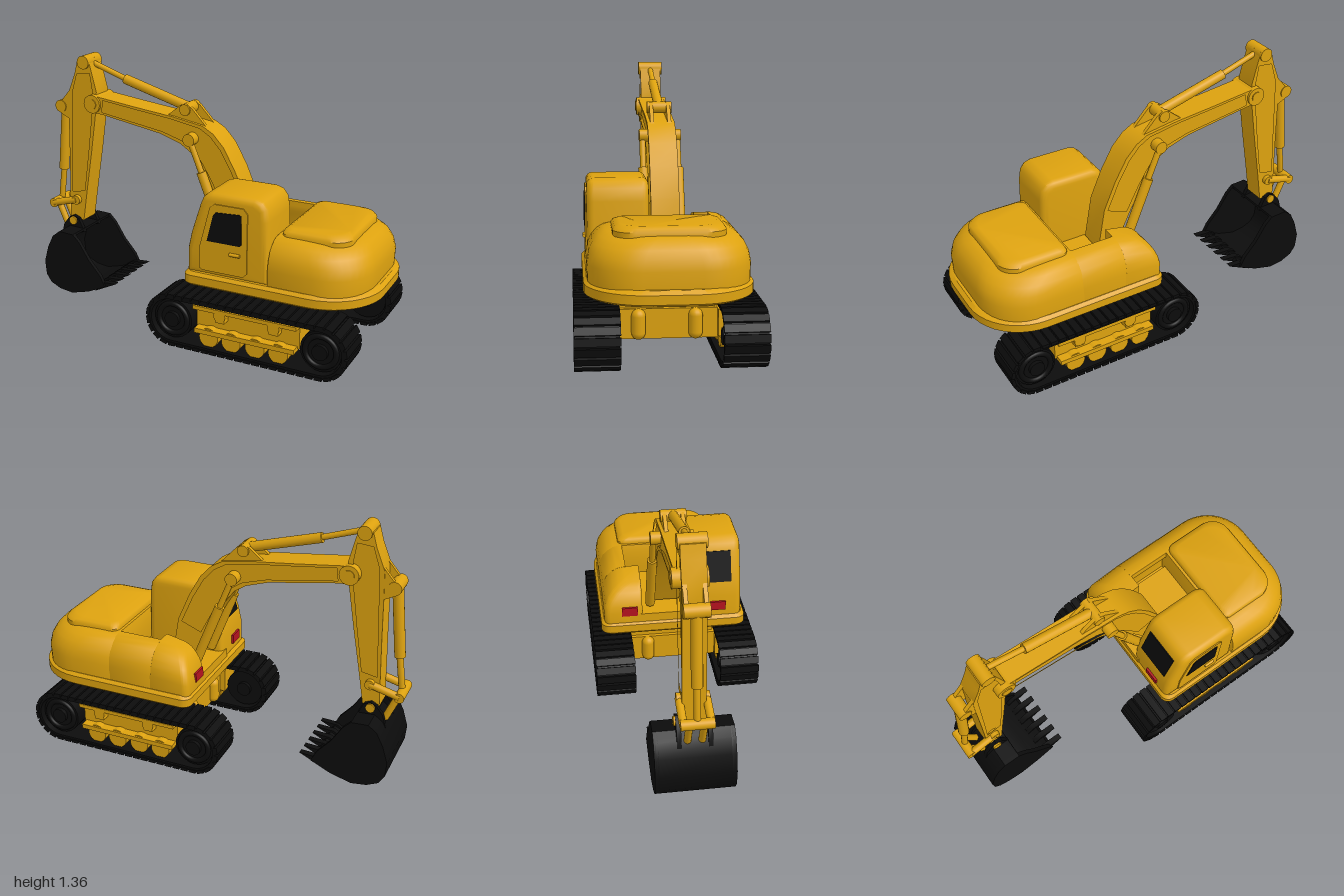
import * as THREE from 'three';
import { toCreasedNormals } from 'three/addons/utils/BufferGeometryUtils.js';

const material = (name, color) => {
  const m = new THREE.MeshStandardMaterial({ color });
  m.name = name;
  return m;
};

export function createModel() {
  const yellow = material('yellow paint', 0xdda20f);
  const black = material('black steel', 0x0c0c0c);
  const red = material('red lamp', 0xb5121f);
  const model = new THREE.Group();
  model.name = 'excavator';

  const add = (parent, name, geo, mat, x = 0, y = 0, z = 0) => {
    const mesh = new THREE.Mesh(geo, mat);
    mesh.name = name;
    mesh.position.set(x, y, z);
    parent.add(mesh);
    return mesh;
  };
  const box = (parent, name, w, h, d, mat, x, y, z) =>
    add(parent, name, new THREE.BoxGeometry(w, h, d), mat, x, y, z);
  // cylinder lying along z
  const pin = (parent, name, r, len, mat, x, y, z = 0) => {
    const geo = new THREE.CylinderGeometry(r, r, len, 24).rotateX(Math.PI / 2);
    return add(parent, name, geo, mat, x, y, z);
  };
  // cylinder between two points
  const rod = (parent, name, a, b, r, mat = yellow) => {
    const va = new THREE.Vector3(...a), dir = new THREE.Vector3(...b).sub(va);
    const mesh = add(parent, name, new THREE.CylinderGeometry(r, r, dir.length(), 16), mat);
    mesh.position.copy(va).addScaledVector(dir, 0.5);
    mesh.quaternion.setFromUnitVectors(new THREE.Vector3(0, 1, 0), dir.normalize());
    return mesh;
  };
  const toVectors = pts => pts.map(p => new THREE.Vector2(...p));
  // side profile extruded across z, centred, with a small rounded edge
  const slab = (parent, name, pts, width, mat, z = 0, bevel = 0, hole = null) => {
    const shape = new THREE.Shape(toVectors(pts));
    if (hole) shape.holes.push(new THREE.Path(toVectors(hole)));
    const geo = new THREE.ExtrudeGeometry(shape, {
      depth: width - 2 * bevel, bevelEnabled: bevel > 0, bevelSize: bevel,
      bevelThickness: bevel, bevelOffset: -bevel, bevelSegments: 4, curveSegments: 24,
    });
    geo.translate(0, 0, bevel - width / 2);
    return add(parent, name, toCreasedNormals(geo, 0.65), mat, 0, 0, z);
  };
  // stacked rounded rectangles: [y, x0, x1, z0, z1], corner radii from (x1,z1) round to (x1,z0)
  const loft = (parent, name, rings, radii, mat, rule) => {
    const pos = [], index = [], steps = 10, n = 4 * (steps + 1);
    for (const [y, x0, x1, z0, z1] of rings) {
      for (let c = 0; c < 4; c++) {
        const r = radii[c], right = c === 0 || c === 3, near = c < 2;
        const cx = right ? x1 - r : x0 + r, cz = near ? z1 - r : z0 + r;
        for (let s = 0; s <= steps; s++) {
          const a = (c + s / steps) * Math.PI / 2;
          const x = cx + r * Math.cos(a);
          pos.push(x, rule ? rule(x, y) : y, cz + r * Math.sin(a));
        }
      }
    }
    for (let i = 0; i < rings.length - 1; i++) {
      for (let j = 0; j < n; j++) {
        const a = i * n + j, b = i * n + (j + 1) % n;
        index.push(a, a + n, b, b, a + n, b + n);
      }
    }
    const top = (rings.length - 1) * n;
    for (let j = 1; j < n - 1; j++) index.push(top, top + j + 1, top + j, 0, j, j + 1);
    const geo = new THREE.BufferGeometry();
    geo.setAttribute('position', new THREE.Float32BufferAttribute(pos, 3));
    geo.setIndex(index);
    return add(parent, name, toCreasedNormals(geo, 0.65), mat);
  };

  // ---- undercarriage ----
  const capsule = (Klass, r) => {
    const p = new Klass();
    p.absarc(0.8, 0.147, r, -Math.PI / 2, Math.PI / 2, false);
    p.absarc(0, 0.147, r, Math.PI / 2, Math.PI * 1.5, false);
    p.closePath();
    return p;
  };
  for (const side of [1, -1]) {
    const track = new THREE.Group();
    track.name = side > 0 ? 'leftTrack' : 'rightTrack';
    track.position.z = side * 0.335;
    model.add(track);
    const belt = capsule(THREE.Shape, 0.131);
    belt.holes.push(capsule(THREE.Path, 0.114));
    const beltGeo = new THREE.ExtrudeGeometry(belt, { depth: 0.2, bevelEnabled: false, curveSegments: 20 });
    add(track, 'belt', toCreasedNormals(beltGeo.translate(0, 0, -0.1), 0.5), black);
    // shoes spaced around the belt
    const R = 0.134, arc = Math.PI * R, total = 1.6 + 2 * arc, count = 52;
    for (let i = 0; i < count; i++) {
      let d = i / count * total, x, y, turn = 0;
      if (d < 0.8) { x = d; y = 0.147 + R; }
      else if ((d -= 0.8) < arc) { turn = -d / R; x = 0.8 - R * Math.sin(turn); y = 0.147 + R * Math.cos(turn); }
      else if ((d -= arc) < 0.8) { x = 0.8 - d; y = 0.147 - R; turn = Math.PI; }
      else { turn = Math.PI - (d - 0.8) / R; x = -R * Math.sin(turn); y = 0.147 + R * Math.cos(turn); }
      box(track, 'shoe', 0.038, 0.018, 0.21, black, x, y, 0).rotation.z = turn;
    }
    for (const x of [0, 0.8]) {
      pin(track, 'wheel', 0.106, 0.15, black, x, 0.147);
      add(track, 'wheelRim', new THREE.TorusGeometry(0.08, 0.014, 10, 32), black, x, 0.147, side * 0.075);
      pin(track, 'wheelHub', 0.04, 0.19, black, x, 0.147);
    }
    // channel frame with rollers
    box(track, 'frameWeb', 0.56, 0.13, 0.13, yellow, 0.395, 0.175, -side * 0.03);
    box(track, 'frameTopLip', 0.56, 0.02, 0.17, yellow, 0.395, 0.238, 0);
    box(track, 'frameBottomLip', 0.54, 0.025, 0.17, yellow, 0.395, 0.112, 0);
    for (const x of [0.2, 0.325, 0.455, 0.58]) pin(track, 'bottomRoller', 0.052, 0.15, yellow, x, 0.08);
    for (const x of [0.265, 0.555]) {
      pin(track, 'topRoller', 0.032, 0.17, yellow, x, 0.215);
      box(track, 'rollerBracket', 0.05, 0.045, 0.16, yellow, x, 0.2, 0);
    }
  }
  box(model, 'centreFrame', 0.5, 0.145, 0.48, yellow, 0.395, 0.17, 0);
  box(model, 'frameCover', 0.46, 0.03, 0.46, yellow, 0.395, 0.255, 0);
  for (const x of [0.14, 0.65]) for (const z of [0.135, -0.135]) {
    add(model, 'frameLug', new THREE.CapsuleGeometry(0.034, 0.08, 6, 16), yellow, x, 0.17, z);
  }
  add(model, 'turntable', new THREE.CylinderGeometry(0.25, 0.225, 0.09, 40), yellow, 0.39, 0.305, 0);

  // ---- upper body ----
  loft(model, 'platform', [
    [0.34, 0.05, 0.985, -0.38, 0.38], [0.352, 0.04, 1, -0.393, 0.393],
    [0.395, 0.04, 1, -0.393, 0.393], [0.412, 0.055, 0.98, -0.378, 0.378],
  ], [0.29, 0.05, 0.05, 0.29], yellow);
  // y, rear edge, half width, front inset
  const dome = [[0.4, 0.965, 0.375, 0], [0.49, 0.968, 0.377, 0], [0.54, 0.958, 0.368, 0.008],
    [0.58, 0.938, 0.35, 0.02], [0.61, 0.91, 0.322, 0.04], [0.628, 0.875, 0.29, 0.06], [0.635, 0.83, 0.25, 0.09]];
  loft(model, 'engineBody', dome.map(([y, x, h]) => [y, 0.5, x, -h, h]), [0.24, 0.001, 0.001, 0.24], yellow);
  loft(model, 'rightBodyRear', dome.map(([y, , h]) => [y, 0.26, 0.505, -h, Math.min(-0.24, -h + 0.11)]),
    [0.001, 0.001, 0.001, 0.001], yellow);
  loft(model, 'rightBodyFront', dome.map(([y, , h, f]) => [y, 0.05 + f, 0.265, -h, -0.17]),
    [0.001, 0.02, 0.035, 0.001], yellow,
    (x, y) => y - (y - 0.4) * 0.28 * Math.pow(Math.max(0, (0.265 - x) / 0.22), 1.5));
  box(model, 'boomWellFloor', 0.46, 0.06, 0.36, yellow, 0.28, 0.425, -0.06);
  loft(model, 'engineHood', [
    [0.62, 0.515, 0.86, -0.26, 0.26], [0.645, 0.515, 0.86, -0.26, 0.26],
    [0.66, 0.522, 0.85, -0.25, 0.25], [0.67, 0.54, 0.825, -0.225, 0.225],
  ], [0.1, 0.04, 0.04, 0.1], yellow);

  // ---- cab ----
  const cab = new THREE.Group();
  cab.name = 'cab';
  model.add(cab);
  slab(cab, 'cabShell', [[0.055, 0.4], [0.058, 0.53], [0.075, 0.61], [0.125, 0.765], [0.142, 0.805], [0.165, 0.826],
    [0.2, 0.835], [0.42, 0.835], [0.46, 0.822], [0.485, 0.79], [0.495, 0.73], [0.502, 0.4]], 0.3, yellow, 0.22, 0.035);
  slab(cab, 'door', [[0.13, 0.44], [0.15, 0.43], [0.37, 0.43], [0.39, 0.45], [0.392, 0.76], [0.37, 0.785],
    [0.215, 0.785], [0.19, 0.765], [0.135, 0.56]], 0.008, yellow, 0.372);
  slab(cab, 'sideWindow', [[0.175, 0.59], [0.355, 0.59], [0.362, 0.6], [0.362, 0.745], [0.35, 0.752],
    [0.225, 0.745], [0.21, 0.73]], 0.008, black, 0.376);
  rod(cab, 'doorHandle', [0.3, 0.54, 0.38], [0.355, 0.54, 0.38], 0.009);
  const screen = box(cab, 'windscreen', 0.008, 0.17, 0.2, black, 0.099, 0.69, 0.215);
  screen.rotation.z = -Math.atan2(0.05, 0.155);
  for (const z of [0.24, -0.24]) box(model, 'frontLamp', 0.012, 0.05, 0.085, red, 0.05, 0.475, z);

  // ---- digging arm ----
  const digger = new THREE.Group();
  digger.name = 'diggingArm';
  digger.position.z = -0.03;
  model.add(digger);
  // beam between an upper and a lower edge, with raised rims around sunken sides
  const beam = (name, upper, lower, width) => {
    const mix = (t, i) => [0, 1].map(k => upper[i][k] + (lower[i][k] - upper[i][k]) * t);
    const inner = upper.map((_, i) => i).slice(1, -1);
    const hole = [...inner.map(i => mix(0.14, i)), ...inner.reverse().map(i => mix(0.86, i))];
    const outline = [...upper, ...[...lower].reverse()];
    slab(digger, name + 'Rim', outline, width, yellow, 0, 0, hole);
    slab(digger, name + 'Web', outline, width - 0.03, yellow);
  };
  beam('boom',
    [[-0.7, 1.155], [-0.62, 1.145], [-0.42, 1.12], [-0.2, 1.095], [-0.02, 1.065], [0.04, 1.03], [0.1, 0.965], [0.165, 0.85], [0.23, 0.7], [0.27, 0.47]],
    [[-0.7, 1.06], [-0.63, 1.055], [-0.45, 1.025], [-0.27, 0.995], [-0.15, 0.955], [-0.09, 0.915], [-0.04, 0.85], [0.01, 0.77], [0.08, 0.64], [0.16, 0.47]], 0.145);
  pin(digger, 'boomTipPin', 0.05, 0.17, yellow, -0.685, 1.108);
  beam('stick',
    [[-0.715, 1.345], [-0.695, 1.27], [-0.67, 1.17], [-0.68, 1.05], [-0.715, 0.83], [-0.755, 0.6], [-0.785, 0.42]],
    [[-0.785, 1.33], [-0.805, 1.26], [-0.85, 1.15], [-0.855, 1.02], [-0.86, 0.8], [-0.867, 0.58], [-0.872, 0.42]], 0.115);
  pin(digger, 'stickTopPin', 0.036, 0.135, yellow, -0.745, 1.325);
  pin(digger, 'stickPivot', 0.028, 0.18, yellow, -0.685, 1.108);
  for (const z of [0.045, -0.045]) {
    slab(digger, 'stickEar', [[-0.84, 1.17], [-0.9, 1.1], [-0.93, 1.08], [-0.935, 1.05], [-0.91, 1.03], [-0.85, 1.0]], 0.02, yellow, z);
    slab(digger, 'boomEar', [[-0.24, 1.09], [-0.16, 1.155], [-0.12, 1.165], [-0.09, 1.145], [-0.01, 1.06]], 0.02, yellow, z);
  }
  // stick cylinder
  pin(digger, 'stickCylinderPin', 0.03, 0.13, yellow, -0.13, 1.135);
  rod(digger, 'stickCylinder', [-0.13, 1.135, 0], [-0.52, 1.247, 0], 0.026);
  rod(digger, 'stickCylinderRod', [-0.5, 1.242, 0], [-0.745, 1.325, 0], 0.015);
  // bucket cylinder and linkage
  pin(digger, 'bucketCylinderPin', 0.034, 0.12, yellow, -0.905, 1.068);
  rod(digger, 'bucketCylinder', [-0.905, 1.07, 0], [-0.943, 0.69, 0], 0.028);
  rod(digger, 'bucketCylinderRod', [-0.94, 0.71, 0], [-0.968, 0.5, 0], 0.017);
  pin(digger, 'linkPin', 0.026, 0.16, yellow, -0.972, 0.5);
  pin(digger, 'rockerPin', 0.026, 0.16, yellow, -0.82, 0.54);
  for (const z of [0.065, -0.065]) rod(digger, 'rocker', [-0.972, 0.5, z], [-0.82, 0.54, z], 0.02);
  for (const z of [0.035, -0.035]) rod(digger, 'bucketLink', [-0.965, 0.5, z], [-0.9, 0.35, z], 0.018);
  // boom lift cylinders on both sides
  pin(digger, 'liftPin', 0.033, 0.22, yellow, -0.085, 0.99);
  for (const z of [0.093, -0.093]) {
    rod(digger, 'liftCylinderRod', [-0.085, 0.99, z], [0.0, 0.78, z], 0.016);
    rod(digger, 'liftCylinder', [-0.018, 0.825, z], [0.12, 0.48, z], 0.026);
  }

  // ---- bucket ----
  const back = [[-0.77, 0.38], [-0.86, 0.385], [-0.905, 0.35], [-0.94, 0.28], [-0.967, 0.19], [-0.96, 0.11],
    [-0.93, 0.065], [-0.87, 0.037], [-0.79, 0.026], [-0.68, 0.055], [-0.57, 0.105]];
  const inside = back.map(([x, y]) => [x + (-0.74 - x) * 0.09, y + (0.25 - y) * 0.09]).reverse();
  slab(digger, 'bucketShell', [...back, ...inside], 0.37, black);
  for (const z of [0.185, -0.185]) {
    slab(digger, 'bucketSide', [...back, [-0.6, 0.165], [-0.67, 0.245], [-0.73, 0.34]], 0.022, black, z);
  }
  for (const z of [0.075, -0.075]) {
    slab(digger, 'bucketEar', [[-0.92, 0.32], [-0.9, 0.39], [-0.865, 0.435], [-0.835, 0.45], [-0.8, 0.435], [-0.765, 0.36]], 0.022, black, z);
  }
  pin(digger, 'bucketPin', 0.024, 0.19, yellow, -0.835, 0.42);
  for (let i = 0; i < 6; i++) {
    slab(digger, 'tooth', [[-0.64, 0.065], [-0.505, 0.13], [-0.6, 0.125], [-0.64, 0.1]], 0.032, black, -0.17 + i * 0.068);
  }
  return model;
}
